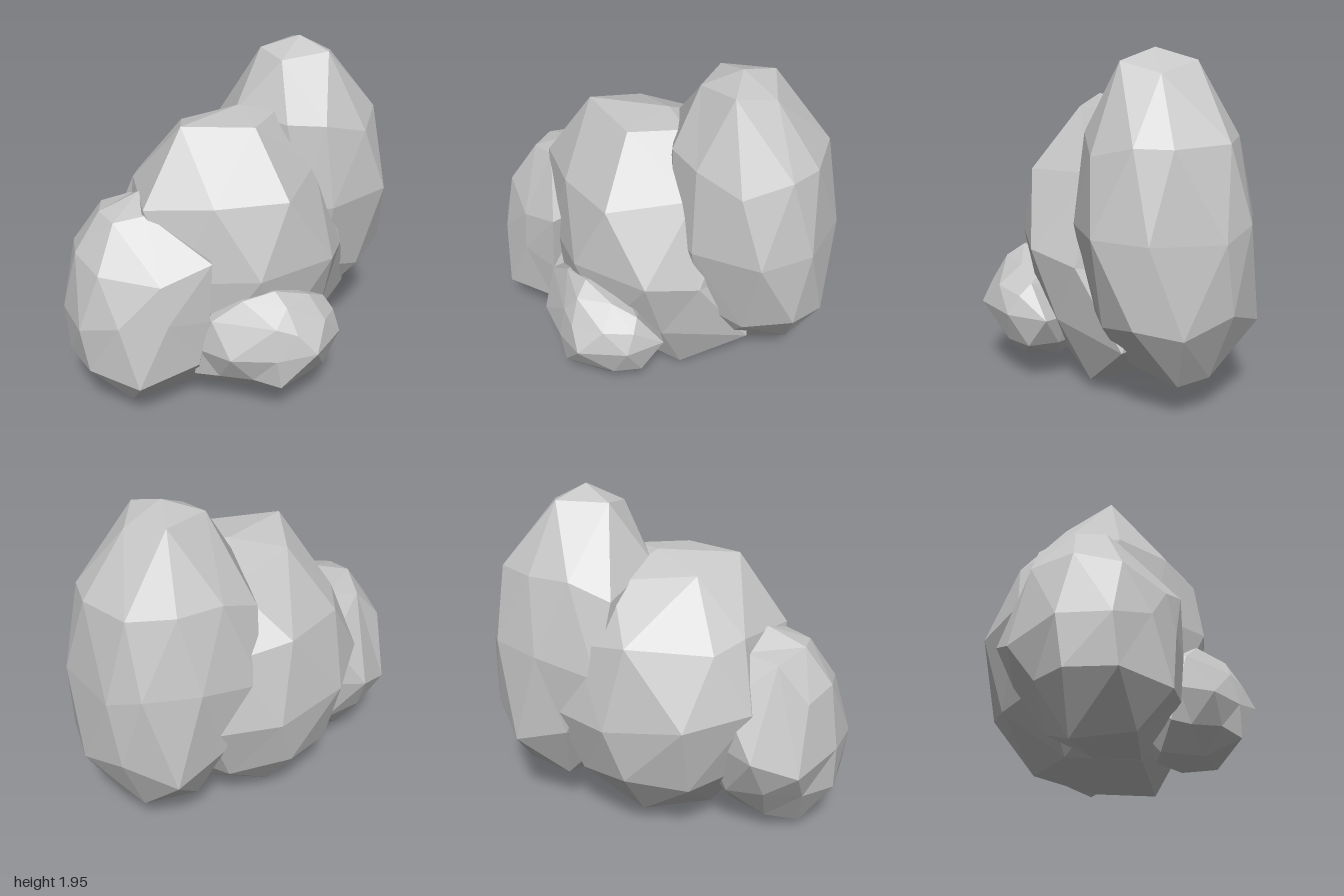
import * as THREE from 'three';
import { mergeVertices } from 'three/addons/utils/BufferGeometryUtils.js';

// One faceted boulder: a low-poly ball with a corner on top, stretched and leaned,
// then chiselled by pulling its nearest corners to a few chosen points.
function boulder(name, material, { center, radii, spin, lean = [0, 0], corners }) {
  let geo = new THREE.IcosahedronGeometry(1, 1);
  geo.deleteAttribute('uv');
  geo.deleteAttribute('normal');
  geo = mergeVertices(geo, 1e-3);
  geo.rotateZ(-Math.atan(2 / (1 + Math.sqrt(5))));
  geo.rotateY(-THREE.MathUtils.degToRad(spin));

  const pos = geo.attributes.position;
  const v = new THREE.Vector3();
  for (let i = 0; i < pos.count; i++) {
    v.fromBufferAttribute(pos, i);
    pos.setXYZ(i,
      center[0] + v.x * radii[0] + lean[0] * v.y,
      center[1] + v.y * radii[1],
      center[2] + v.z * radii[2] + lean[1] * v.y);
  }

  const used = new Set();
  for (const c of corners) {
    const target = new THREE.Vector3(...c);
    let best = -1, bestDist = Infinity;
    for (let i = 0; i < pos.count; i++) {
      const d = v.fromBufferAttribute(pos, i).distanceTo(target);
      if (!used.has(i) && d < bestDist) { best = i; bestDist = d; }
    }
    used.add(best);
    pos.setXYZ(best, ...c);
  }

  const flat = geo.toNonIndexed();
  flat.computeVertexNormals();
  const mesh = new THREE.Mesh(flat, material);
  mesh.name = name;
  return mesh;
}

export function createModel() {
  const group = new THREE.Group();
  group.name = 'boulderCluster';
  const stone = new THREE.MeshStandardMaterial({ color: 0xc6c6c6, flatShading: true });
  stone.name = 'grey stone';

  group.add(
    // broad flat-topped boulder in the middle
    boulder('middleBoulder', stone, {
      center: [0, 0.8, -0.03], radii: [0.66, 0.81, 0.66], spin: 0,
      corners: [
        [0.05, 1.61, -0.05], [-0.31, 1.6, 0.23], [0.09, 1.58, 0.26], [-0.27, 1.53, -0.09],
        [0.27, 1.59, 0], [0.23, 1.24, 0.51], [-0.54, 1.2, 0.39], [-0.52, 1.18, -0.24],
        [0.47, 1.28, 0.1], [0.5, 0.85, 0.45], [0.06, 0.83, 0.62],
        [-0.7, 0.85, -0.13], [-0.5, 0.8, -0.47], [-0.1, 0.75, -0.67], [0.3, 0.75, -0.67],
        [0.74, 0.38, -0.1], [0.01, 0, -0.05], [0.43, 0.06, 0.14],
      ],
    }),
    // tall boulder at the back
    boulder('tallBoulder', stone, {
      center: [0.5, 1.03, -0.3], radii: [0.5, 0.92, 0.49], spin: 49, lean: [-0.03, 0.04],
      corners: [
        [0.44, 1.95, -0.22], [0.22, 1.88, -0.26], [0.3, 1.85, -0.06], [0.57, 1.89, -0.06],
        [0.45, 1.89, -0.44], [0.64, 1.84, -0.28], [0.88, 1.51, -0.38], [0.04, 1.55, -0.11],
        [0.3, 1.53, 0.12], [0.45, 1.51, -0.66], [0, 1.42, -0.48], [0.01, 1, -0.6],
        [0.35, 1.08, -0.74], [0.66, 1.1, -0.75], [0.83, 1.04, -0.64],
        [1, 1.06, -0.28], [0.99, 0.62, -0.2], [0.96, 0.57, -0.45], [0.93, 1.06, 0.02],
        [0.57, 1.03, 0.19], [0.77, 0.23, -0.4], [0.49, 0.12, -0.31],
        [0.78, 0.65, -0.68], [0.5, 0.53, -0.79],
      ],
    }),
    // medium boulder at the side
    boulder('sideBoulder', stone, {
      center: [-0.56, 0.63, 0.23], radii: [0.43, 0.6, 0.44], spin: 57, lean: [0, -0.02],
      corners: [
        [-0.55, 1.23, 0.2], [-0.77, 1.15, 0.25], [-0.52, 1.17, 0.39], [-0.2, 0.95, 0.59],
        [-0.75, 1.11, 0.02], [-0.43, 1.2, 0.08], [-0.48, 0.85, 0.62],
        [-0.92, 0.91, 0.08], [-1, 0.59, 0.27], [-0.98, 0.32, 0.3], [-0.95, 0.5, -0.02],
        [-0.76, 0.6, -0.21], [-0.92, 0.58, 0.53], [-0.88, 0.32, 0.54],
        [-0.22, 0.6, 0.6], [-0.62, 0.27, 0.7], [-0.28, 0.33, 0.6],
        [-0.65, 0.08, 0.52], [-0.8, 0.04, 0.24], [-0.5, 0.03, 0.22], [-0.25, 0.07, 0.36],
      ],
    }),
    // small boulder in front
    boulder('smallBoulder', stone, {
      center: [0.12, 0.42, 0.5], radii: [0.42, 0.33, 0.28], spin: 0, lean: [0, 0.06],
      corners: [
        [0.14, 0.76, 0.6], [0.34, 0.7, 0.56], [0.45, 0.63, 0.47], [0.12, 0.6, 0.74],
        [-0.04, 0.72, 0.61], [-0.21, 0.61, 0.61], [0.34, 0.46, 0.8],
        [0.55, 0.45, 0.36], [0.52, 0.46, 0.59], [0.5, 0.27, 0.48], [0.15, 0.24, 0.77],
        [0.3, 0.13, 0.57], [0.05, 0.09, 0.41], [-0.3, 0.24, 0.55], [-0.21, 0.11, 0.45],
      ],
    }),
  );
  return group;
}
